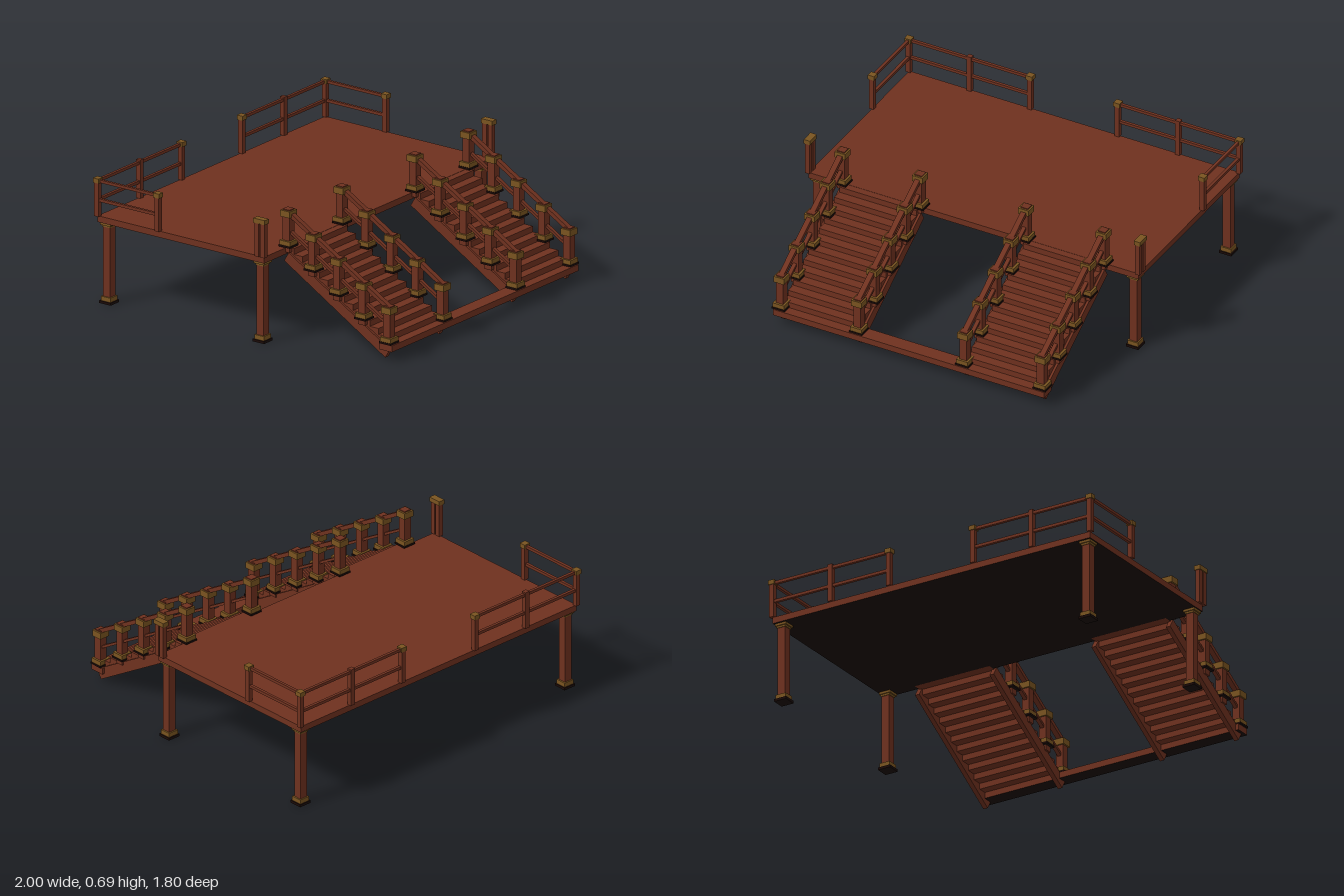
import * as THREE from 'three';

const material = (name, color) => {
  const m = new THREE.MeshStandardMaterial({ color });
  m.name = name;
  return m;
};

export function createModel() {
  const wood = material('red brown wood', 0x6f311f);
  const bronze = material('bronze trim', 0x7a5420);
  const dark = material('dark footing', 0x1a0a07);
  const darkBelow = [wood, wood, wood, dark, wood, wood];
  const model = new THREE.Group();
  model.name = 'raisedDeck';

  // Box given by its bounds, [min, max] per axis
  const box = (name, parent, mat, [x0, x1], [y0, y1], [z0, z1]) => {
    const mesh = new THREE.Mesh(new THREE.BoxGeometry(x1 - x0, y1 - y0, z1 - z0), mat);
    mesh.position.set((x0 + x1) / 2, (y0 + y1) / 2, (z0 + z1) / 2);
    mesh.name = name;
    parent.add(mesh);
  };
  const around = (c, size) => [c - size / 2, c + size / 2];
  const block = (name, parent, mat, x, z, w, d, y0, y1) =>
    box(name, parent, mat, around(x, w), [y0, y1], around(z, d));
  const group = (name) => {
    const g = new THREE.Group();
    g.name = name;
    model.add(g);
    return g;
  };

  // Platform with a dark underside
  box('platform', model, darkBelow, [-0.98, 0.98], [0.445, 0.48], [-0.885, 0.2]);

  // Supporting legs with feet and stepped capitals
  for (const x of [-0.94, 0.94]) for (const z of [-0.84, 0.16]) {
    const leg = group('supportLeg');
    block('legShaft', leg, wood, x, z, 0.046, 0.046, 0.03, 0.43);
    block('legFooting', leg, dark, x, z, 0.074, 0.074, 0, 0.014);
    block('legBase', leg, bronze, x, z, 0.062, 0.062, 0.014, 0.038);
    block('legNeck', leg, bronze, x, z, 0.054, 0.054, 0.422, 0.432);
    block('legCapital', leg, bronze, x, z, 0.068, 0.068, 0.432, 0.4445);
  }

  // Railing post with a cap on the platform
  const railPost = (parent, x, z) => {
    block('railPost', parent, wood, x, z, 0.027, 0.027, 0.48, 0.67);
    block('railPostCap', parent, bronze, x, z, 0.037, 0.037, 0.665, 0.69);
  };

  // Back corner railings and the paired front corner posts
  for (const s of [-1, 1]) {
    const railing = group(s > 0 ? 'leftRailing' : 'rightRailing');
    railPost(railing, s * 0.981, -0.883);
    railPost(railing, s * 0.26, -0.883);
    railPost(railing, s * 0.981, -0.49);
    railPost(railing, s * 0.981, 0.162);
    railPost(railing, s * 0.981, 0.199);
    block('middlePost', railing, wood, s * 0.62, -0.883, 0.027, 0.027, 0.48, 0.692);
    for (const [y, h] of [[0.675, 0.016], [0.57, 0.016]]) {
      block('backRail', railing, wood, s * 0.621, -0.883, 0.722, 0.016, y - h / 2, y + h / 2);
      block('sideRail', railing, wood, s * 0.98, -0.6865, 0.016, 0.393, y - h / 2, y + h / 2);
    }
  }

  // Beam joining the feet of both stairs
  box('stairFootBeam', model, darkBelow, [-0.805, 0.805], [0.055, 0.09], [0.816, 0.9]);

  // Sloping board between two points in the side plane
  const slope = (name, parent, x, z0, y0, z1, y1, w, h) => {
    const mesh = new THREE.Mesh(
      new THREE.BoxGeometry(w, h, Math.hypot(z1 - z0, y1 - y0)), wood);
    mesh.position.set(x, (y0 + y1) / 2, (z0 + z1) / 2);
    mesh.rotation.x = Math.atan2(y1 - y0, z0 - z1);
    mesh.name = name;
    parent.add(mesh);
  };

  // Two stairs
  const steps = 12, run = 0.055, rise = 0.0324;
  for (const s of [-1, 1]) {
    const stair = group(s > 0 ? 'leftStair' : 'rightStair');
    for (let i = 1; i <= steps; i++) {
      const front = 0.9 - i * run, top = 0.09 + i * rise;
      box('tread', stair, wood, around(s * 0.545, 0.46), [top - 0.034, top], [front - 0.078, front]);
    }
    for (const x of [s * 0.315, s * 0.775]) {
      slope('stringer', stair, x, 0.859, 0.035, 0.2, 0.43, 0.026, 0.058);
      slope('handrail', stair, x, 0.865, 0.284, 0.2, 0.678, 0.03, 0.022);
      slope('lowerRail', stair, x, 0.865, 0.186, 0.2, 0.58, 0.022, 0.014);

      // Stair posts with footings, bases and caps
      for (let i = 0; i < 5; i++) {
        const z = 0.86 - i * 0.164, y = 0.092 + i * 0.099;
        block('postFooting', stair, dark, x, z, 0.076, 0.074, y, y + 0.01);
        block('postBase', stair, bronze, x, z, 0.068, 0.068, y + 0.01, y + 0.034);
        block('postShaft', stair, wood, x, z, 0.044, 0.044, y - 0.03, y + 0.18);
        block('postCap', stair, bronze, x, z, 0.062, 0.062, y + 0.164, y + 0.199);
        block('postTop', stair, wood, x, z, 0.044, 0.044, y + 0.199, y + 0.205);
      }
    }
  }
  return model;
}
